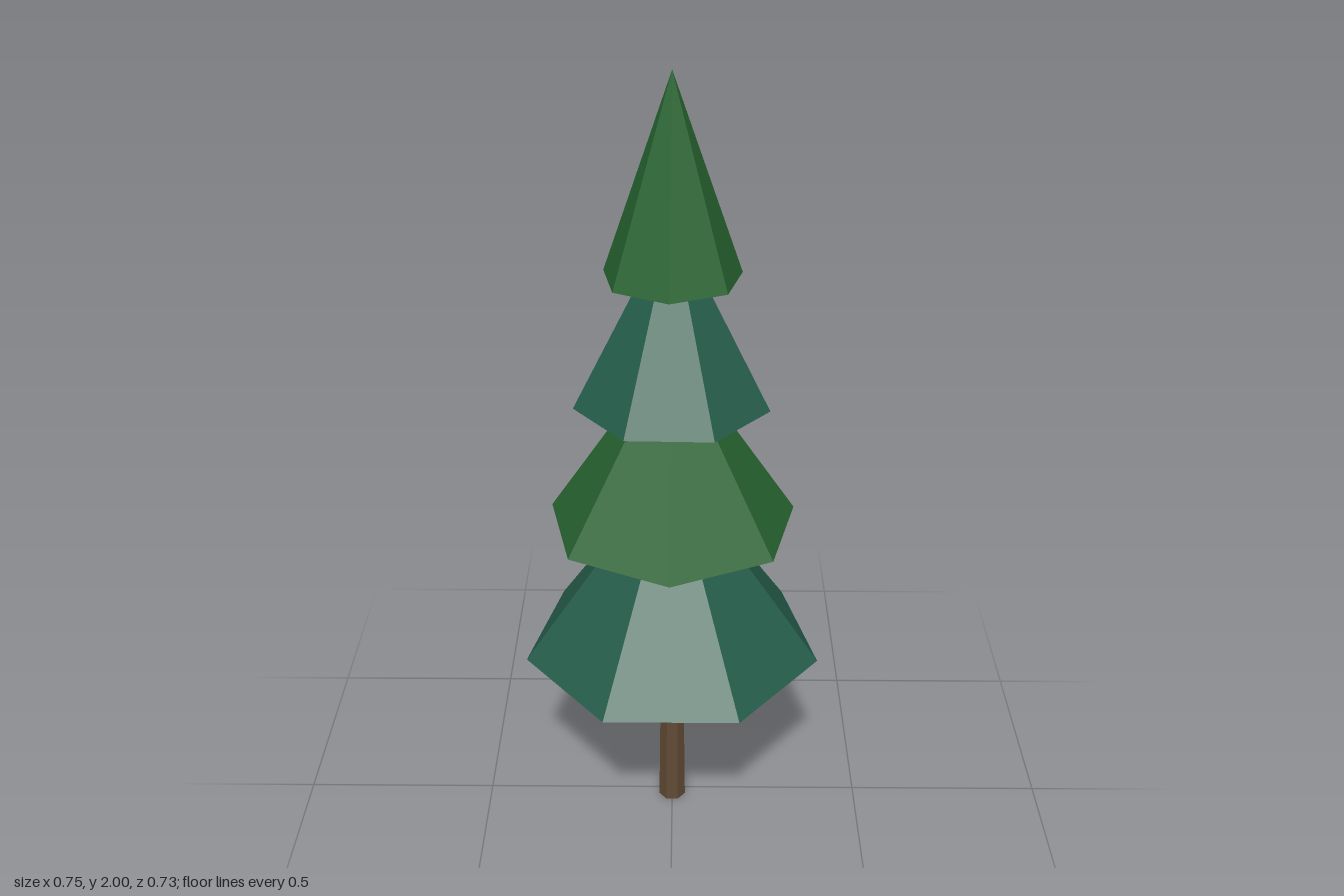
import * as THREE from 'three';

export function createModel() {
  const tree = new THREE.Group();
  tree.name = 'pineTree';

  const material = (name, color) => {
    const m = new THREE.MeshStandardMaterial({ color, flatShading: true });
    m.name = name;
    return m;
  };
  const bark = material('bark brown', 0x614a35);
  const blueGreen = material('blue green needles', 0x265e4b);
  const leafGreen = material('leaf green needles', 0x276430);

  // The seven-sided tiers are not symmetric front to back, so the axis sits slightly forward
  const axisZ = 0.018;
  const sides = 7;

  // Slightly tapered trunk, reaching up into the lowest tier
  const trunk = new THREE.Mesh(new THREE.CylinderGeometry(0.028, 0.036, 0.6, sides), bark);
  trunk.name = 'trunk';
  trunk.position.set(0, 0.3, axisZ);
  trunk.rotation.y = Math.PI;
  tree.add(trunk);

  // Foliage tiers: base height, base radius, cone height
  const tiers = [
    [0.503, 0.383, 0.53],
    [0.873, 0.315, 0.48],
    [1.205, 0.241, 0.46],
    [1.522, 0.167, 0.478],
  ];
  tiers.forEach(([base, radius, height], i) => {
    const cone = new THREE.Mesh(
      new THREE.ConeGeometry(radius, height, sides),
      i % 2 ? leafGreen : blueGreen
    );
    cone.name = `foliageTier${i + 1}`;
    cone.position.set(0, base + height / 2, axisZ);
    // Each tier makes just under a half turn from the one below
    cone.rotation.y = Math.PI + i * (Math.PI - 0.0122);
    tree.add(cone);
  });

  return tree;
}
